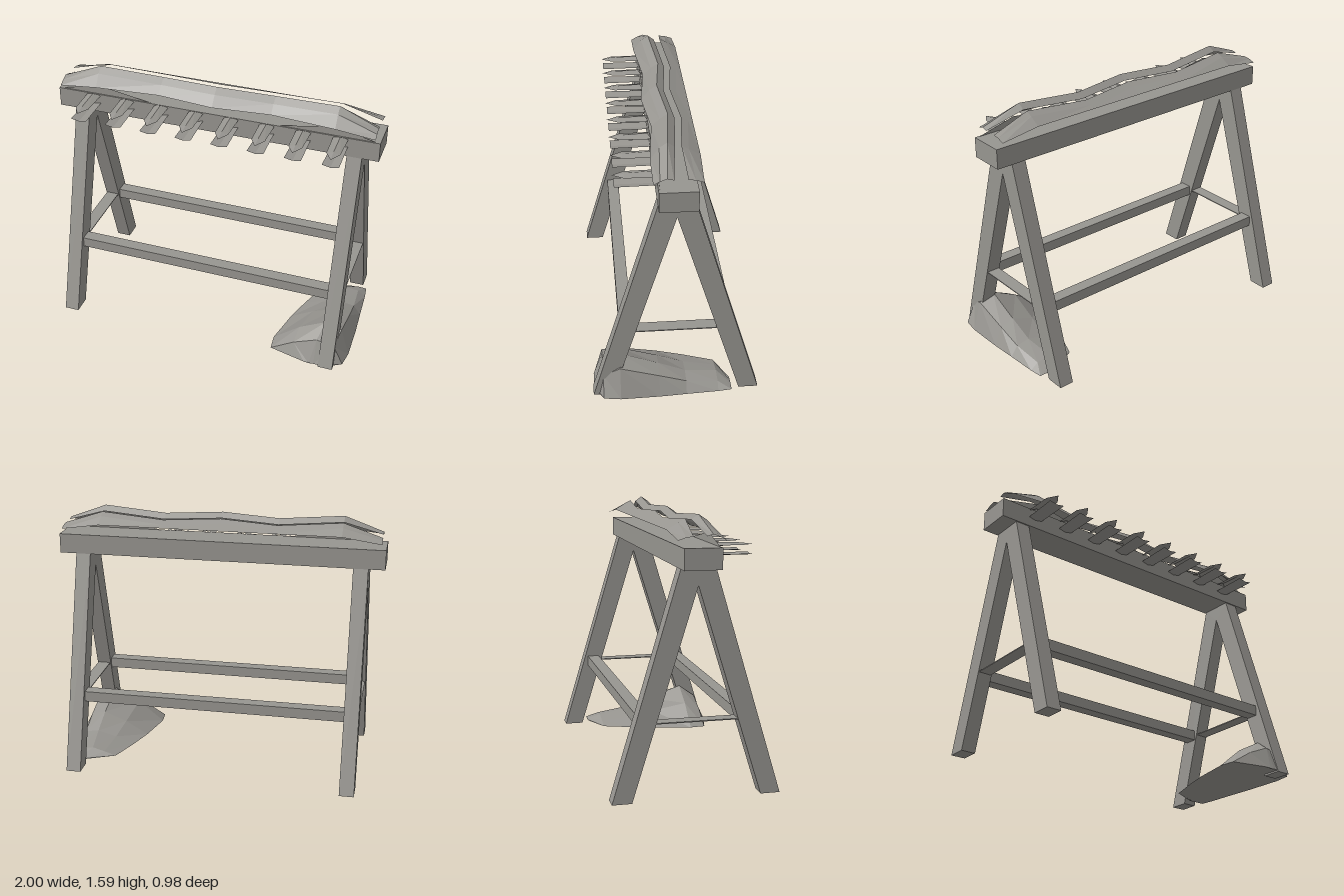
import * as THREE from 'three';

// Surface through rows of equally many [x, y, z] points; closed joins each row into a ring
function loft(rows, closed = false) {
  const n = rows[0].length, index = [];
  for (let r = 0; r < rows.length - 1; r++) {
    for (let i = 0; i < (closed ? n : n - 1); i++) {
      const a = r * n + i, b = r * n + (i + 1) % n;
      index.push(a, b, b + n, a, b + n, a + n);
    }
  }
  const g = new THREE.BufferGeometry();
  g.setAttribute('position', new THREE.Float32BufferAttribute(rows.flat(2), 3));
  g.setIndex(index);
  g.computeVertexNormals();
  return g;
}

export function createModel() {
  const model = new THREE.Group();
  const grey = new THREE.MeshStandardMaterial({ color: 0x979590, flatShading: true, side: THREE.DoubleSide });
  grey.name = 'weathered grey';

  const add = (name, geometry, x = 0, y = 0, z = 0) => {
    const mesh = new THREE.Mesh(geometry, grey);
    mesh.name = name;
    mesh.position.set(x, y, z);
    model.add(mesh);
    return mesh;
  };

  // Top beam
  add('beam', new THREE.BoxGeometry(2, 0.12, 0.215), 0, 1.37, 0);

  // Splayed leg pairs, extruded across x
  const legShape = new THREE.Shape([
    [0.49, 0], [0.1, 1.31], [-0.1, 1.31], [-0.49, 0], [-0.375, 0], [0, 1.215], [0.375, 0],
  ].map(([z, y]) => new THREE.Vector2(z, y)));
  for (const side of [-1, 1]) {
    const g = new THREE.ExtrudeGeometry(legShape, { depth: 0.09, bevelEnabled: false });
    g.translate(0, 0, -0.045);
    g.rotateY(-Math.PI / 2);
    add(side > 0 ? 'leftLegs' : 'rightLegs', g, side * 0.855);

    // Flat board tying front and back legs together
    add('crossBoard', new THREE.BoxGeometry(0.08, 0.006, 0.6), side * 0.855, 0.45, 0);
    // Long rails, front and back
    add(side > 0 ? 'frontRail' : 'backRail', new THREE.BoxGeometry(1.63, 0.065, 0.075), 0, 0.447, side * 0.292);
  }

  // Row of flat pegs along the front
  for (let i = 0; i < 8; i++) {
    const x = -0.77 + i * 0.22;
    add('peg', loft([
      [[-0.045, 1.372, 0.1], [0, 1.362, 0.1], [0.045, 1.372, 0.1]],
      [[-0.05, 1.372, 0.335], [0, 1.362, 0.335], [0.05, 1.372, 0.335]],
    ]), x);
    add('pegHook', loft([
      [[-0.045, 1.42, 0.1], [0, 1.437, 0.12], [0.045, 1.42, 0.1]],
      [[-0.04, 1.42, 0.28], [0, 1.43, 0.28], [0.04, 1.42, 0.28]],
      [[0, 1.42, 0.345], [0, 1.42, 0.345], [0, 1.42, 0.345]],
    ]), x);
  }

  // Wavy cover in two halves: [x, crest height, sideways wave]
  const stations = [
    [-0.74, 1.59, 0.01], [-0.35, 1.565, -0.025], [0, 1.58, 0.01], [0.35, 1.565, -0.025], [0.74, 1.59, 0.01],
  ];
  const withEnds = (row, end) => [end(-0.975), ...stations.map(row), end(0.975)];
  add('coverFront', loft(withEnds(
    ([x, h, w]) => [[x, 1.49, 0.125 + w], [x, h - 0.03, 0.075 + w], [x, h, 0.03 + w], [x, h - 0.03, -0.01 + w]],
    x => [[x, 1.465, 0.135], [x, 1.485, 0.1], [x, 1.5, 0.06], [x, 1.49, 0.025]],
  )));
  add('coverBack', loft(withEnds(
    ([x, h, w]) => [[x, h - 0.025, -0.045 + w], [x, h - 0.045, -0.085 + w], [x, 1.505, -0.14]],
    x => [[x, 1.49, -0.05], [x, 1.485, -0.09], [x, 1.47, -0.135]],
  )));

  // Low peaked lip between beam and cover
  add('coverLip', loft([
    [-0.975, -0.74, -0.4, 0.4, 0.74, 0.975].map(x => [x, 1.4, 0.1]),
    [1.43, 1.49, 1.43, 1.43, 1.49, 1.43].map((y, i) => [[-0.975, -0.74, -0.4, 0.4, 0.74, 0.975][i], y, 0.1]),
  ]));

  // Drift heaped round the front left foot: [z, inner x, crest x, outer x, height]
  const drift = [
    [0.485, 0.72, 0.78, 0.86, 0.01],
    [0.43, 0.49, 0.78, 0.95, 0.16],
    [0.33, 0.48, 0.81, 0.965, 0.23],
    [0.1, 0.53, 0.82, 0.96, 0.15],
    [-0.06, 0.58, 0.82, 0.95, 0.085],
    [-0.25, 0.65, 0.8, 0.94, 0.055],
    [-0.33, 0.82, 0.87, 0.93, 0.015],
  ];
  add('drift', loft(drift.map(([z, a, c, b, h]) => [
    [a, 0.01, z], [(a + c) / 2, h * 0.62, z], [c, h, z], [c + (b - c) * 0.65, h * 0.85, z], [b, 0.01, z],
  ]), true));

  return model;
}
